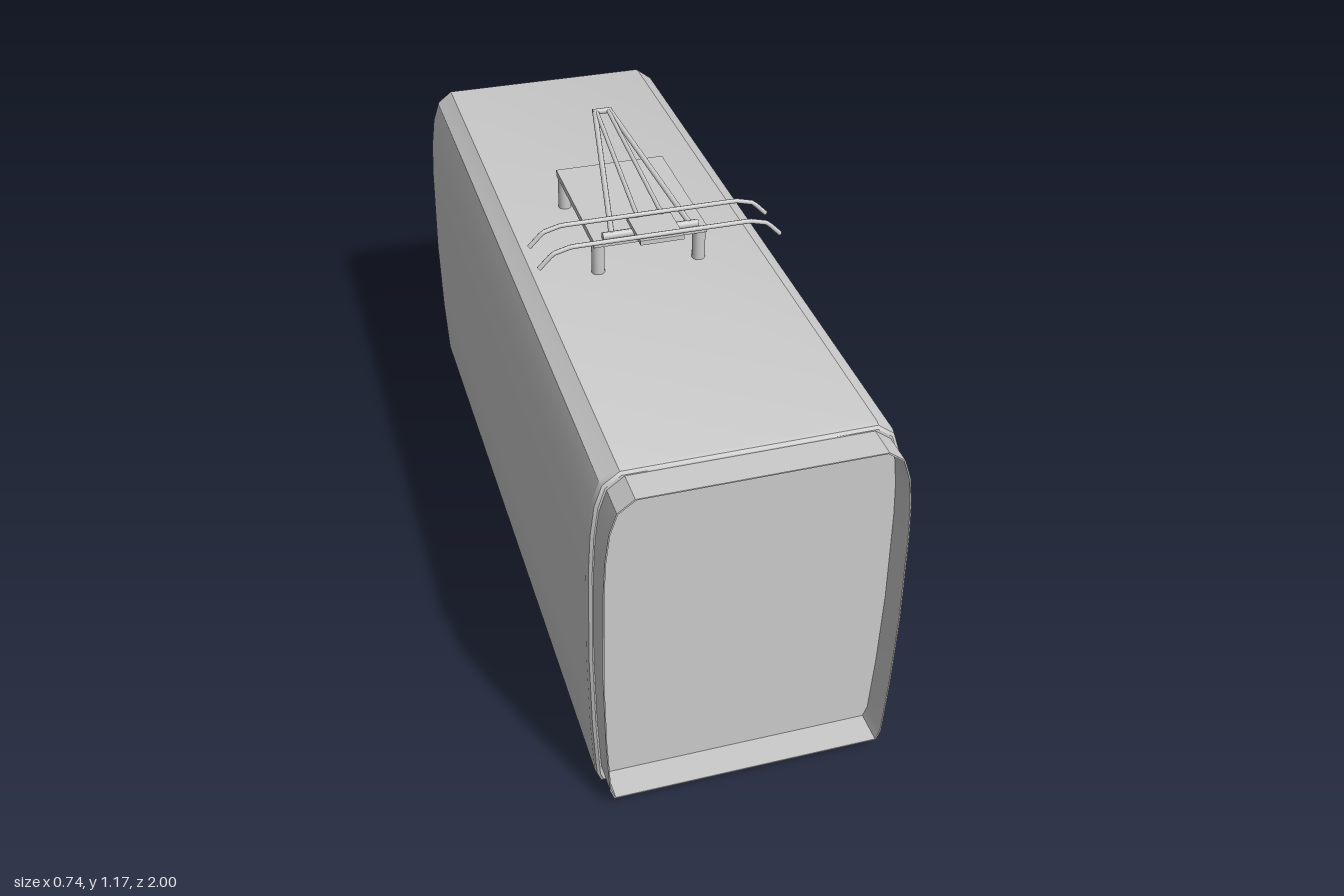
import * as THREE from 'three';
import { toCreasedNormals } from 'three/addons/utils/BufferGeometryUtils.js';

const grey = new THREE.MeshStandardMaterial({ color: 0xcccccc });
grey.name = 'light grey';

// Right half of the carriage cross-section, from floor to roof
const HALF = [[0.345, 0], [0.356, 0.03], [0.365, 0.2], [0.37, 0.42], [0.367, 0.68],
  [0.362, 0.78], [0.352, 0.86], [0.334, 0.915], [0.293, 0.946]];

function sectionPoints(sx, y0, y1) {
  const h = HALF.map(([x, y]) => [x * sx, y0 + (y / 0.946) * (y1 - y0)]);
  const mirrored = h.map(([x, y]) => [-x, y]).reverse();
  return [...h, ...mirrored].map(([x, y]) => new THREE.Vector2(x, y));
}

export function createModel() {
  const model = new THREE.Group();
  model.name = 'railCarriage';

  function add(name, geometry, x = 0, y = 0, z = 0, parent = model) {
    const mesh = new THREE.Mesh(geometry, grey);
    mesh.name = name;
    mesh.position.set(x, y, z);
    parent.add(mesh);
    return mesh;
  }

  // Carriage shell with softly bevelled ends
  const bevel = 0.018;
  const body = new THREE.ExtrudeGeometry(new THREE.Shape(sectionPoints(1, 0, 0.946)), {
    depth: 1.92 - 2 * bevel, bevelThickness: bevel, bevelSize: 0.01, bevelOffset: -0.01, bevelSegments: 2,
  });
  add('body', toCreasedNormals(body, 0.6), 0, 0, -1 + bevel);

  // Open gangway collar at the front end
  const collar = new THREE.Shape(sectionPoints(0.965, 0.03, 0.933));
  collar.holes.push(new THREE.Path(sectionPoints(0.957, 0.033, 0.93).reverse()));
  const collarGeometry = new THREE.ExtrudeGeometry(collar, { depth: 0.085, bevelEnabled: false });
  add('gangwayCollar', toCreasedNormals(collarGeometry, 0.6), 0, 0, 0.915);

  // Current collector on the roof
  const collector = new THREE.Group();
  collector.name = 'currentCollector';
  model.add(collector);

  for (const x of [-0.131, 0.131]) {
    for (const z of [-0.21, 0.135]) {
      add('insulatorLeg', new THREE.CylinderGeometry(0.017, 0.017, 0.09, 12), x, 0.985, z, collector);
    }
  }
  add('basePlate', new THREE.BoxGeometry(0.292, 0.017, 0.39), 0, 1.035, -0.04, collector);

  // Straight rod between two points
  function rod(name, a, b, radius) {
    const from = new THREE.Vector3(...a), to = new THREE.Vector3(...b);
    const dir = to.clone().sub(from);
    const mesh = add(name, new THREE.CylinderGeometry(radius, radius, dir.length(), 8), 0, 0, 0, collector);
    mesh.position.copy(from).add(to).multiplyScalar(0.5);
    mesh.quaternion.setFromUnitVectors(new THREE.Vector3(0, 1, 0), dir.normalize());
  }

  rod('lowerPivotBar', [-0.123, 1.054, 0.15], [0.123, 1.054, 0.15], 0.01);
  rod('kneeBar', [-0.026, 1.163, -0.305], [0.026, 1.163, -0.305], 0.008);
  for (const s of [-1, 1]) {
    rod('lowerArm', [s * 0.1, 1.058, 0.15], [s * 0.02, 1.163, -0.305], 0.0075);
    rod('upperArm', [s * 0.031, 1.09, 0.14], [s * 0.016, 1.163, -0.3], 0.006);
  }

  // Head carrying two bowed contact strips
  add('headPlate', new THREE.BoxGeometry(0.11, 0.012, 0.125), 0, 1.081, 0.19, collector);
  const bow = [[-0.305, 1.047], [-0.27, 1.083], [-0.225, 1.095], [0.225, 1.095], [0.27, 1.083], [0.305, 1.047]];
  for (const z of [0.14, 0.245]) {
    const path = new THREE.CurvePath();
    for (let i = 0; i < bow.length - 1; i++) {
      path.add(new THREE.LineCurve3(new THREE.Vector3(...bow[i], z), new THREE.Vector3(...bow[i + 1], z)));
    }
    add('contactStrip', new THREE.TubeGeometry(path, 48, 0.006, 8), 0, 0, 0, collector);
    for (const s of [-1, 1]) {
      const cap = add('stripEnd', new THREE.CircleGeometry(0.006, 8), s * 0.305, 1.047, z, collector);
      cap.lookAt(s * 0.34, 1.011, z);
    }
  }
  return model;
}
